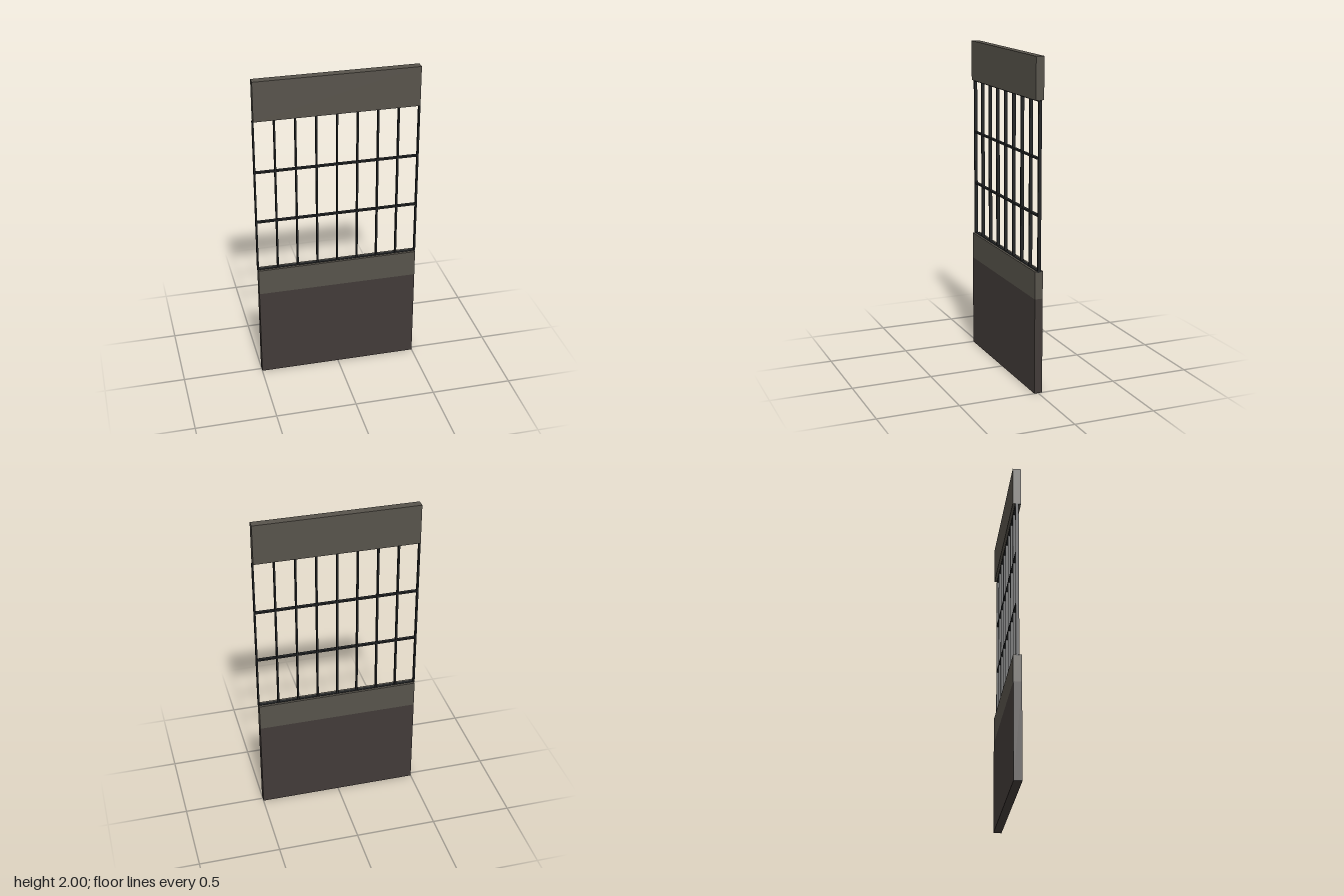
import * as THREE from 'three';

export function createModel() {
  const group = new THREE.Group();
  const upperPaint = new THREE.MeshStandardMaterial({ color: 0x57534b });
  const lowerPaint = new THREE.MeshStandardMaterial({ color: 0x423b38 });
  const iron = new THREE.MeshStandardMaterial({ color: 0x222425 });

  const box = (name, material, w, h, d, x, y) => {
    const mesh = new THREE.Mesh(new THREE.BoxGeometry(w, h, d), material);
    mesh.name = name;
    mesh.position.set(x, y, 0);
    group.add(mesh);
  };

  // Solid wall: dark base, lighter band above it, and header
  const wall = (name, material, y0, y1) =>
    box(name, material, 1, y1 - y0, 0.05, 0, (y0 + y1) / 2);
  wall('basePanel', lowerPaint, 0, 0.585);
  wall('sillBand', upperPaint, 0.585, 0.752);
  wall('header', upperPaint, 1.752, 2);

  // Window grille: nine uprights and four crossbars
  const bottom = 0.75, top = 1.75;
  for (let i = 0; i <= 8; i++) {
    box('verticalBar', iron, 0.01, top - bottom, 0.02, -0.5 + i / 8, (bottom + top) / 2);
  }
  for (let i = 0; i <= 3; i++) {
    box('crossbar', iron, 1, 0.01, 0.02, 0, bottom + (i * (top - bottom)) / 3);
  }
  return group;
}
